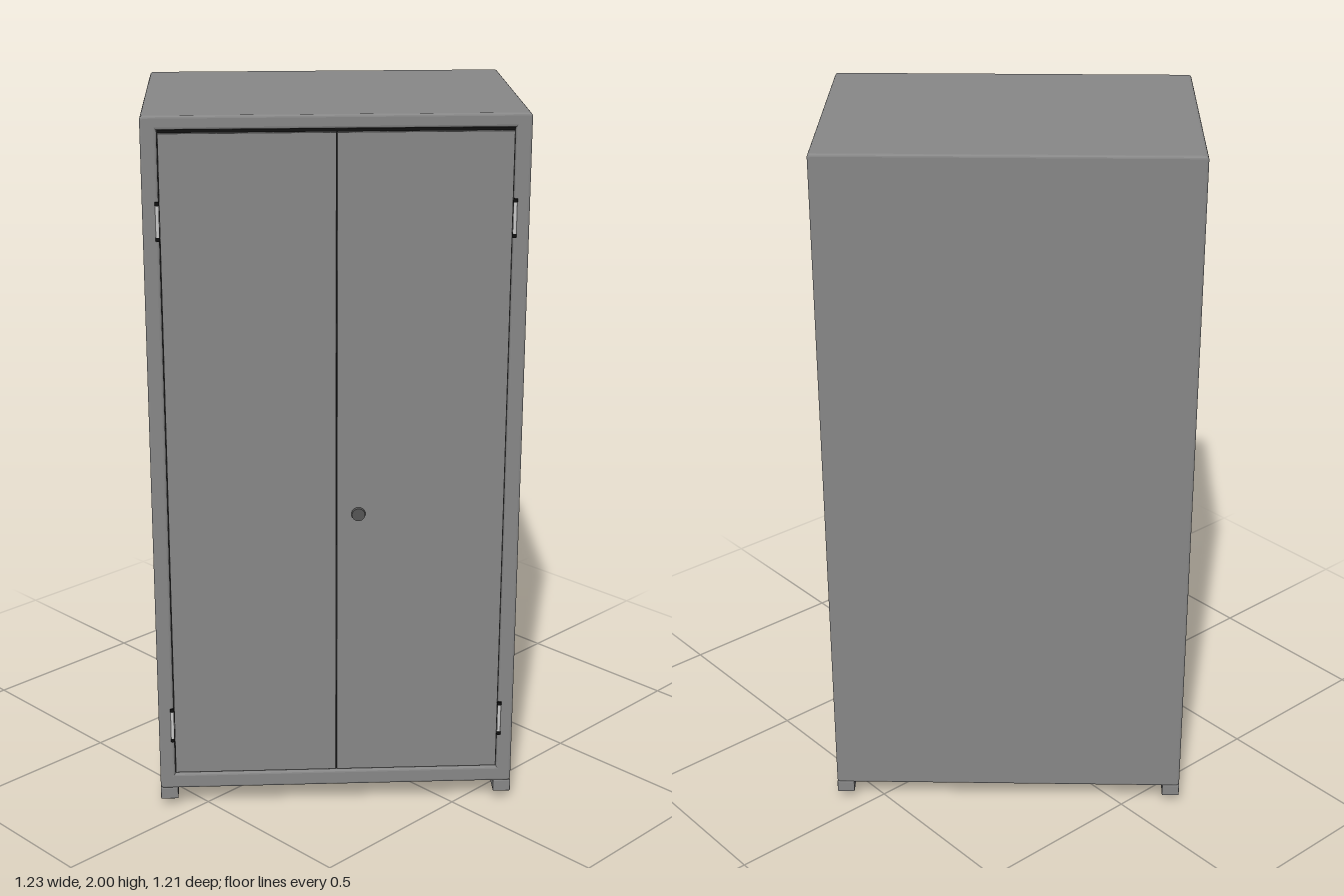
import * as THREE from 'three';
import { RoundedBoxGeometry } from 'three/addons/geometries/RoundedBoxGeometry.js';

const W = 1.01, D = 0.726, BASE = 0.062, TOP = 2;
const paint = new THREE.MeshStandardMaterial({ color: 0x878787 });
const steel = new THREE.MeshStandardMaterial({ color: 0xcccccc });
const darkSteel = new THREE.MeshStandardMaterial({ color: 0x555555 });
const black = new THREE.MeshStandardMaterial({ color: 0x111111 });

function add(parent, name, geometry, x, y, z, material = paint) {
  const mesh = new THREE.Mesh(geometry, material);
  mesh.name = name;
  mesh.position.set(x, y, z);
  parent.add(mesh);
  return mesh;
}

// Rectangle with rounded corners
function roundRect(path, x0, y0, x1, y1, r) {
  path.absarc(x1 - r, y1 - r, r, 0, Math.PI / 2);
  path.absarc(x0 + r, y1 - r, r, Math.PI / 2, Math.PI);
  path.absarc(x0 + r, y0 + r, r, Math.PI, Math.PI * 1.5);
  path.absarc(x1 - r, y0 + r, r, Math.PI * 1.5, Math.PI * 2);
  path.closePath();
  return path;
}

export function createModel() {
  const model = new THREE.Group();
  model.name = 'cabinet';
  const cabinet = new THREE.Group();
  cabinet.name = 'cabinetBody';
  cabinet.rotation.y = -0.736;
  model.add(cabinet);

  // Carcass: hollow shell, open at the front, with rounded outer edges
  const b = 0.007;
  const outline = roundRect(new THREE.Shape(), -W / 2, BASE, W / 2, TOP, 0.01);
  const opening = [[-0.462, 0.108], [-0.462, 1.963], [0.462, 1.963], [0.462, 0.108]];
  outline.holes.push(new THREE.Path(opening.map(([x, y]) => new THREE.Vector2(x, y))));
  const shell = new THREE.ExtrudeGeometry(outline, {
    depth: D - 2 * b, bevelThickness: b, bevelSize: b, bevelOffset: -b, bevelSegments: 3, curveSegments: 4,
  });
  add(cabinet, 'carcass', shell, 0, 0, -D / 2 + b);
  add(cabinet, 'backPanel', new THREE.BoxGeometry(W - 0.02, TOP - BASE - 0.02, 0.015),
    0, (TOP + BASE) / 2, -D / 2 + 0.0075);

  // Dark lining that shows in the gaps around the doors
  add(cabinet, 'doorGapLining', new THREE.BoxGeometry(0.93, 1.86, 0.012), 0, 1.036, D / 2 - 0.018, black);

  // Pair of doors set into the frame
  const doorW = 0.459, doorH = 1.842;
  for (const s of [-1, 1]) {
    const side = s > 0 ? 'left' : 'right';
    add(cabinet, side + 'Door', new RoundedBoxGeometry(doorW, doorH, 0.024, 2, 0.001),
      s * (doorW / 2 + 0.0012), 0.112 + doorH / 2, D / 2 - 0.014);

    // Barrel hinges with dark end caps
    for (const y of [0.265, 1.725]) {
      add(cabinet, side + 'Hinge', new THREE.CylinderGeometry(0.005, 0.005, 0.084, 12),
        s * 0.466, y, D / 2 - 0.001, steel);
      for (const e of [-1, 1])
        add(cabinet, side + 'HingeCap', new THREE.CylinderGeometry(0.006, 0.006, 0.01, 12),
          s * 0.466, y + e * 0.047, D / 2 - 0.001, black);
    }

    // Base runner from front to back, with a rounded foot at each end
    const x = s * (W / 2 - 0.025);
    add(cabinet, side + 'Runner', new RoundedBoxGeometry(0.05, 0.036, D, 2, 0.003), x, BASE - 0.016, 0);
    const profile = [[0, 0], [0.008, 0.001], [0.014, 0.005], [0.018, 0.012], [0.019, 0.02], [0.019, 0.03]]
      .map(([r, y]) => new THREE.Vector2(r, y));
    for (const e of [-1, 1])
      add(cabinet, side + 'Foot', new THREE.LatheGeometry(profile, 20), x, 0, e * 0.307, black);
  }

  // Round lock on the model's left door
  const lock = add(cabinet, 'lock', new THREE.CylinderGeometry(0.018, 0.02, 0.01, 24),
    0.06, 0.9, D / 2 + 0.001, darkSteel);
  lock.rotation.x = Math.PI / 2;

  return model;
}
